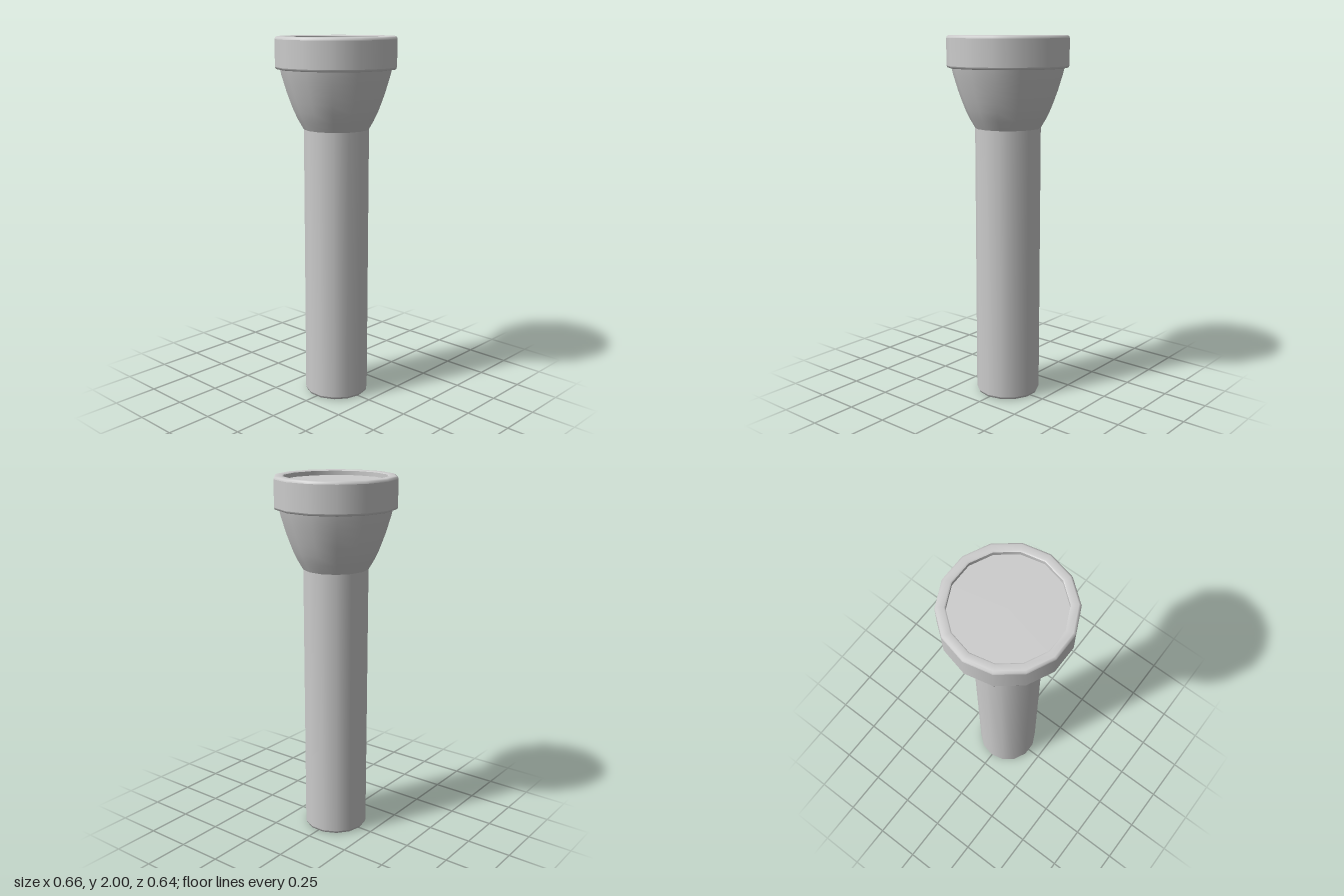
import * as THREE from 'three';

const SIDES = 14;
const material = new THREE.MeshStandardMaterial({ color: 0xcccccc });

// Revolved part; each profile runs [radius, height] and a break between profiles is a sharp edge
function turned(name, ...profiles) {
  const part = new THREE.Group();
  part.name = name;
  for (const profile of profiles) {
    const points = profile.map(([r, y]) => new THREE.Vector2(r, y));
    // start at +x so that a corner lies on the x axis
    const mesh = new THREE.Mesh(new THREE.LatheGeometry(points, SIDES, Math.PI / 2), material);
    mesh.name = name + 'Surface';
    part.add(mesh);
  }
  return part;
}

export function createModel() {
  const torch = new THREE.Group();
  torch.name = 'torch';

  // Handle: straight tube with a softened bottom edge and flat end
  torch.add(turned('handle',
    [[0, 0], [0.165, 0]],
    [[0.165, 0], [0.173, 0.004], [0.178, 0.016]],
    [[0.178, 0.016], [0.178, 1.51]]));

  // Reflector head: bowl flaring out from the handle
  torch.add(turned('head',
    [[0.178, 1.51], [0.207, 1.56], [0.231, 1.61], [0.25, 1.66], [0.268, 1.71],
      [0.283, 1.76], [0.295, 1.8], [0.303, 1.835]]));

  // Bezel: thick ring with rounded outer edges and a sharp inner lip
  torch.add(turned('bezel',
    [[0.29, 1.83], [0.318, 1.83]],
    [[0.318, 1.83], [0.325, 1.833], [0.328, 1.842]],
    [[0.328, 1.842], [0.328, 1.985]],
    [[0.328, 1.985], [0.325, 1.995], [0.315, 2], [0.285, 2], [0.278, 1.995]],
    [[0.278, 1.995], [0.278, 1.97]]));

  // Lens: flat disc recessed inside the bezel
  torch.add(turned('lens', [[0.278, 1.972], [0, 1.972]]));

  return torch;
}
